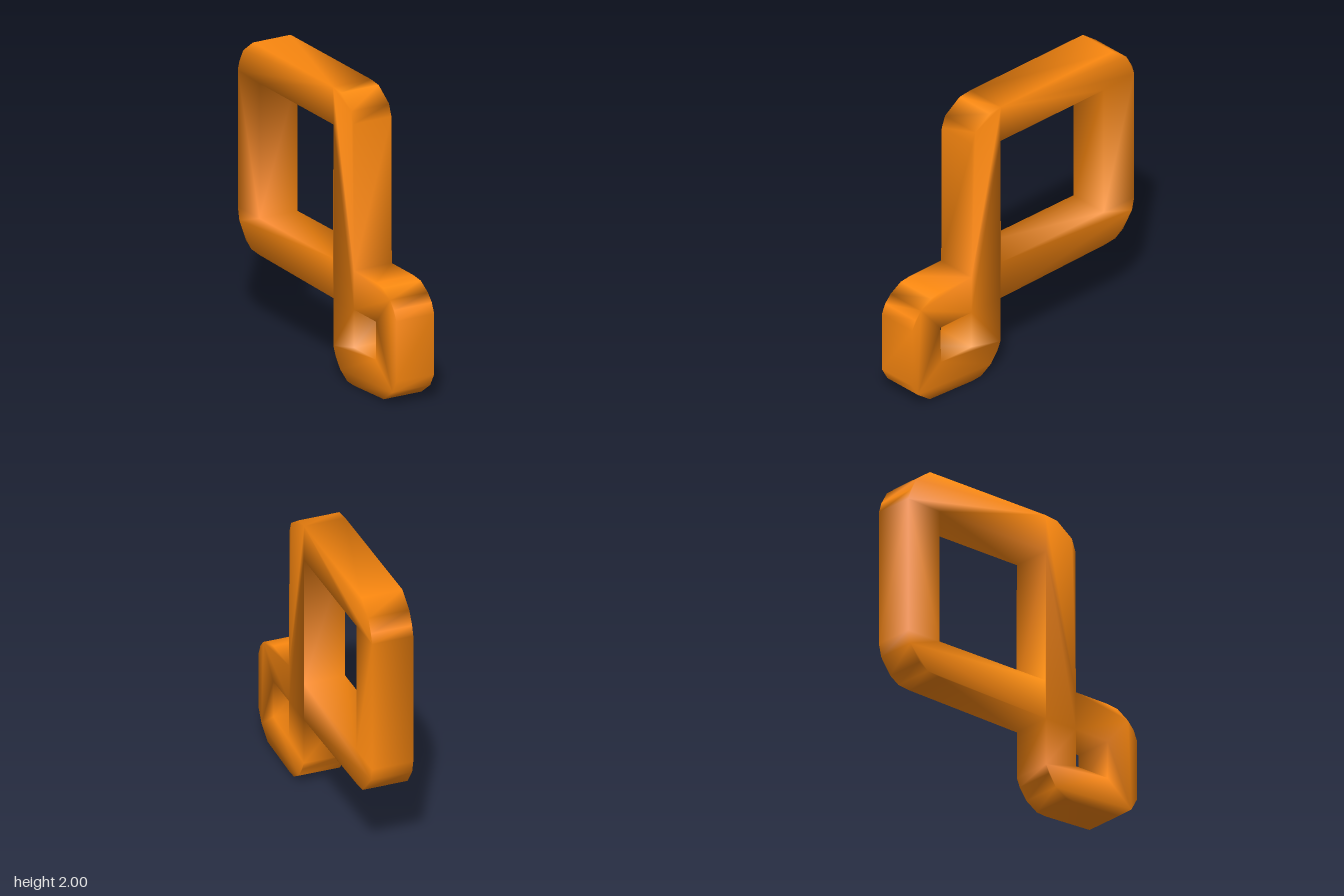
import * as THREE from 'three';
import { mergeVertices } from 'three/addons/utils/BufferGeometryUtils.js';

const WIDTH = 0.29;

// Side profile as [z, y] pairs: large loop, then small loop
const OUTLINE = [
  [0.2, 2], [0.3, 1.99], [0.43, 1.9], [0.46, 1.82], // large loop, front top corner
  [0.465, 0.8], [0.74, 0.8], [0.83, 0.79], [0.92, 0.735], [0.97, 0.68], [1, 0.61], // small loop, front top
  [1, 0.19], [0.95, 0.1], [0.84, 0.02], // small loop, front bottom
  [0.46, 0], [0.38, 0.005], [0.29, 0.06], [0.23, 0.14], [0.205, 0.2], // small loop, back bottom
  [0.205, 0.53], [-0.73, 0.545], [-0.83, 0.555], [-0.9, 0.6], [-0.98, 0.71], [-1, 0.8], // large loop, back bottom
  [-1, 1.75], [-0.98, 1.82], [-0.93, 1.91], [-0.81, 2], // large loop, back top corner
];
const LARGE_OPENING = [[0.205, 1.74], [-0.725, 1.74], [-0.725, 0.8], [0.2, 0.805]];
const SMALL_OPENING = [[0.745, 0.53], [0.465, 0.53], [0.465, 0.265], [0.74, 0.265]];

const toPoints = (pairs) => pairs.map(([z, y]) => new THREE.Vector2(z, y));

export function createModel() {
  const group = new THREE.Group();
  group.name = 'doubleLoop';

  const shape = new THREE.Shape(toPoints(OUTLINE));
  for (const hole of [LARGE_OPENING, SMALL_OPENING]) shape.holes.push(new THREE.Path(toPoints(hole)));

  // Extrude across the width, then turn the profile into the z-y plane
  let geometry = new THREE.ExtrudeGeometry(shape, { depth: WIDTH, bevelEnabled: false });
  geometry.translate(0, 0, -WIDTH / 2);
  geometry.rotateY(-Math.PI / 2);

  // Shared corners give the soft shading
  geometry.deleteAttribute('normal');
  geometry.deleteAttribute('uv');
  geometry = mergeVertices(geometry, 1e-4);
  geometry.computeVertexNormals();

  const frame = new THREE.Mesh(geometry, new THREE.MeshStandardMaterial({ color: 0xff8a10 }));
  frame.name = 'loopFrame';
  group.add(frame);
  return group;
}
